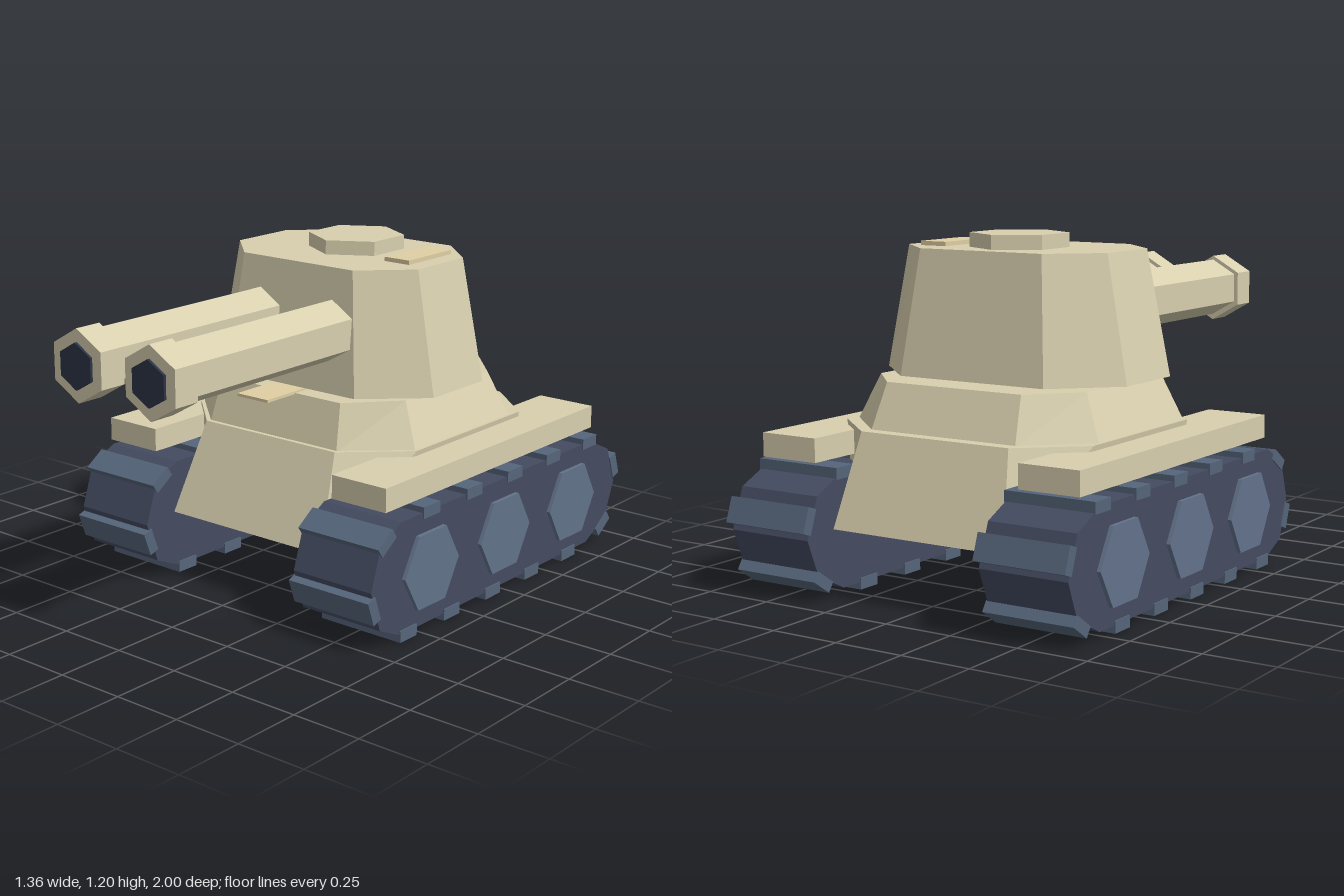
import * as THREE from 'three';

const paint = (color) => new THREE.MeshStandardMaterial({ color, flatShading: true });

// Stack of eight-sided sections: [y, half width, front/rear half width, z front, z front corner, z rear corner, z rear]
function octagonStack(sections) {
  const rings = sections.map(([y, hx, w, zf, zfc, zrc, zr]) => [
    [w, y, zf], [hx, y, zfc], [hx, y, zrc], [w, y, zr],
    [-w, y, zr], [-hx, y, zrc], [-hx, y, zfc], [-w, y, zf],
  ]);
  const index = [];
  for (let r = 0; r < rings.length - 1; r++) {
    for (let i = 0; i < 8; i++) {
      const a = r * 8 + i, b = r * 8 + (i + 1) % 8;
      index.push(a, b, b + 8, a, b + 8, a + 8);
    }
  }
  const top = (rings.length - 1) * 8;
  for (let i = 1; i < 7; i++) {
    index.push(0, i + 1, i);
    index.push(top, top + i, top + i + 1);
  }
  const geo = new THREE.BufferGeometry();
  geo.setAttribute('position', new THREE.Float32BufferAttribute(rings.flat(2), 3));
  geo.setIndex(index);
  const flat = geo.toNonIndexed();
  flat.computeVertexNormals();
  return flat;
}

export function createModel() {
  const model = new THREE.Group();
  const armour = paint(0xd8cfae);
  const hatchPaint = paint(0xe0cfa4);
  const trackPaint = paint(0x444b61);
  const treadPaint = paint(0x55657a);
  const wheelPaint = paint(0x62728a);
  const borePaint = paint(0x2d3447);

  function add(parent, name, geometry, material, x = 0, y = 0, z = 0) {
    const mesh = new THREE.Mesh(geometry, material);
    mesh.name = name;
    mesh.position.set(x, y, z);
    parent.add(mesh);
    return mesh;
  }

  // Hull and turret
  add(model, 'lowerHull', octagonStack([
    [0.235, 0.45, 0.34, 0.38, 0.1, -0.6, -0.84],
    [0.555, 0.5, 0.295, 0.25, 0.06, -0.56, -0.74],
  ]), armour);
  add(model, 'upperHull', octagonStack([
    [0.55, 0.49, 0.29, 0.235, 0.055, -0.51, -0.695],
    [0.71, 0.42, 0.27, 0.19, 0.02, -0.47, -0.63],
  ]), armour);
  add(model, 'turret', octagonStack([
    [0.717, 0.49, 0.29, 0.14, -0.045, -0.335, -0.53],
    [1.15, 0.405, 0.245, 0.095, -0.06, -0.32, -0.47],
  ]), armour);

  // Roof details and front plate
  add(model, 'cupola', new THREE.CylinderGeometry(0.172, 0.172, 0.06, 6), armour, 0, 1.17, -0.232);
  add(model, 'roofHatch', new THREE.BoxGeometry(0.105, 0.03, 0.245), hatchPaint, 0.283, 1.15, -0.223);
  add(model, 'frontPlate', new THREE.BoxGeometry(0.138, 0.01, 0.25), hatchPaint, 0, 0.711, 0.21);

  // Twin six-sided guns
  const tube = (r, length) => new THREE.CylinderGeometry(r, r, length, 6).rotateX(Math.PI / 2);
  for (const x of [0.165, -0.158]) {
    const gun = new THREE.Group();
    gun.name = x > 0 ? 'leftGun' : 'rightGun';
    gun.position.set(x, 0.931, 0);
    add(gun, 'barrel', tube(0.106, 0.9), armour, 0, 0.003, 0.45);
    add(gun, 'muzzle', tube(0.124, 0.1), armour, 0, 0, 0.94);
    add(gun, 'bore', tube(0.079, 0.05), borePaint, 0, 0, 0.975);
    model.add(gun);
  }

  // Track outline in (z, y), and plates as [z, y, tilt]
  const outline = [
    [0.36, 0.025], [0.47, 0.075], [0.518, 0.22], [0.47, 0.36], [0.36, 0.42],
    [-0.79, 0.42], [-0.92, 0.36], [-0.972, 0.22], [-0.92, 0.09], [-0.79, 0.025],
  ].map(([z, y]) => new THREE.Vector2(z, y));
  const beltGeo = new THREE.ExtrudeGeometry(new THREE.Shape(outline), { depth: 0.325, bevelEnabled: false })
    .translate(0, 0, -0.1625).rotateY(-Math.PI / 2);
  const plates = [[0.44, 0.37, 0.6], [0.505, 0.155, 1.91], [-0.965, 0.285, 1.91], [-0.9, 0.068, 0.6]];
  for (let i = 0; i < 5; i++) {
    plates.push([0.2 - i * 0.245, 0.42, 0], [0.32 - i * 0.245, 0.02, 0]);
  }
  const plateGeo = new THREE.BoxGeometry(0.335, 0.04, 0.09);
  const wheelGeo = new THREE.CylinderGeometry(0.15, 0.15, 0.04, 6).rotateZ(Math.PI / 2);

  for (const side of [1, -1]) {
    const track = new THREE.Group();
    track.name = side > 0 ? 'leftTrack' : 'rightTrack';
    track.position.x = side * 0.503;
    add(track, 'belt', beltGeo, trackPaint);
    for (const [z, y, tilt] of plates) {
      add(track, 'treadPlate', plateGeo, treadPaint, 0, y, z).rotation.x = tilt;
    }
    for (const z of [0.205, -0.226, -0.66]) {
      add(track, 'wheel', wheelGeo, wheelPaint, side * 0.157, 0.22, z);
    }
    model.add(track);
    // Flat guard above the track
    add(model, 'fender', new THREE.BoxGeometry(0.225, 0.083, 1.25), armour, side * 0.518, 0.495, -0.225);
  }
  return model;
}
